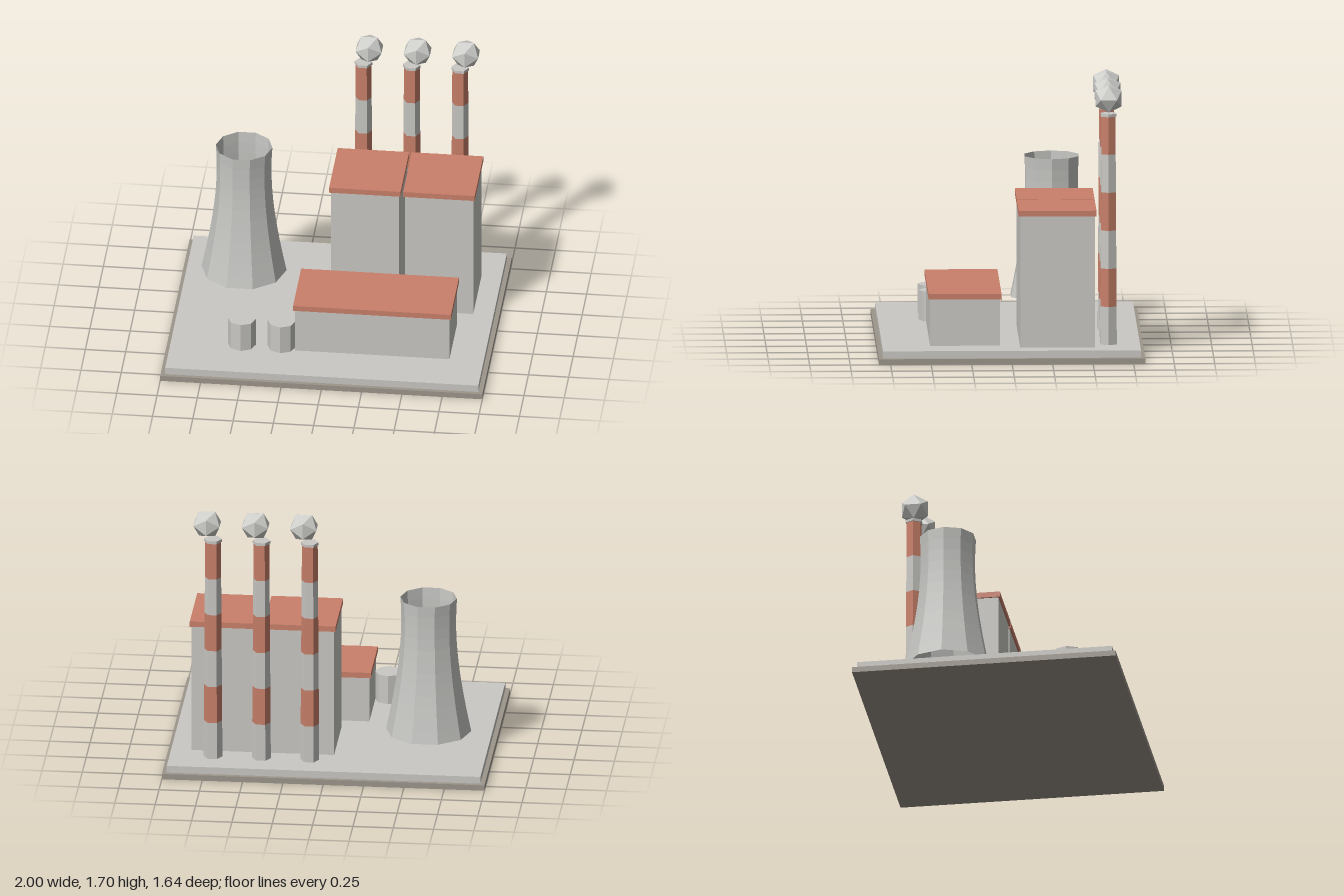
import * as THREE from 'three';

export function createModel() {
  const root = new THREE.Group();
  root.name = 'powerPlant';

  const mat = (name, color, extra = {}) => {
    const m = new THREE.MeshStandardMaterial({ color, flatShading: true, ...extra });
    m.name = name;
    return m;
  };
  const concrete = mat('concrete', 0xc9c8c4);
  const plinth = mat('plinthStone', 0x9c958b);
  const red = mat('brickRed', 0xc9806a);
  const shell = mat('towerConcrete', 0xc6c6c3, { side: THREE.DoubleSide });
  const smoke = mat('smokeGrey', 0xcfcfcc);

  const add = (name, geometry, material, parent = root) => {
    const mesh = new THREE.Mesh(geometry, material);
    mesh.name = name;
    parent.add(mesh);
    return mesh;
  };
  // Box given by its limits on each axis
  const box = (name, [x0, x1], [y0, y1], [z0, z1], material, parent) =>
    add(name, new THREE.BoxGeometry(x1 - x0, y1 - y0, z1 - z0), material, parent)
      .position.set((x0 + x1) / 2, (y0 + y1) / 2, (z0 + z1) / 2);

  // Stepped ground
  box('plinth', [-1, 1], [0, 0.035], [-0.822, 0.822], plinth);
  box('groundSlab', [-0.972, 0.972], [0.035, 0.08], [-0.796, 0.796], concrete);

  // Buildings: walls with an overhanging flat roof
  const building = (name, x, z, top, overhang) => {
    const g = new THREE.Group();
    g.name = name;
    root.add(g);
    const grow = ([a, b]) => [a - overhang, b + overhang];
    box('walls', x, [0.08, top], z, concrete, g);
    box('roof', grow(x), [top, top + 0.035], grow(z), red, g);
  };
  building('lowHall', [-0.2, 0.76], [0.07, 0.5], 0.37, 0.01);
  building('leftBoilerHouse', [0.422, 0.846], [-0.514, -0.054], 0.9, 0.01);
  building('rightBoilerHouse', [-0.038, 0.386], [-0.514, -0.054], 0.9, 0.01);

  // Cooling tower: open ten-sided hyperboloid shell
  const profile = [];
  for (let i = 0; i <= 12; i++) {
    const y = 0.18 + (0.875 * i) / 12;
    profile.push(new THREE.Vector2(0.17 * Math.hypot(1, (y - 0.9) / 0.606), y));
  }
  const tower = add('coolingTower', new THREE.LatheGeometry(profile, 10), shell);
  tower.rotation.y = Math.PI / 2;
  tower.position.set(-0.602, 0, -0.284);

  // Octagonal storage tanks
  for (const x of [-0.533, -0.286]) {
    add('storageTank', new THREE.CylinderGeometry(0.0875, 0.0875, 0.185, 8), concrete)
      .position.set(x, 0.1725, 0.457);
  }

  // Striped six-sided chimneys, each with a rim and a smoke puff
  const bands = 6, y0 = 0.08, y1 = 1.505;
  const step = (y1 - y0) / bands;
  const radius = (i) => THREE.MathUtils.lerp(0.0585, 0.049, i / bands);
  for (const x of [0.104, 0.404, 0.704]) {
    const g = new THREE.Group();
    g.name = 'chimney';
    g.position.set(x, 0, -0.602);
    root.add(g);
    for (let i = 0; i < bands; i++) {
      const band = add('chimneyBand',
        new THREE.CylinderGeometry(radius(i + 1), radius(i), step, 6), i % 2 ? red : concrete, g);
      band.rotation.y = Math.PI / 6;
      band.position.y = y0 + (i + 0.5) * step;
    }
    const rim = add('chimneyRim', new THREE.CylinderGeometry(0.055, 0.055, 0.018, 6), concrete, g);
    rim.rotation.y = Math.PI / 6;
    rim.position.y = 1.511;
    add('smokePuff', new THREE.IcosahedronGeometry(0.095, 0), smoke, g).position.set(0.036, 1.618, 0);
  }

  return root;
}
